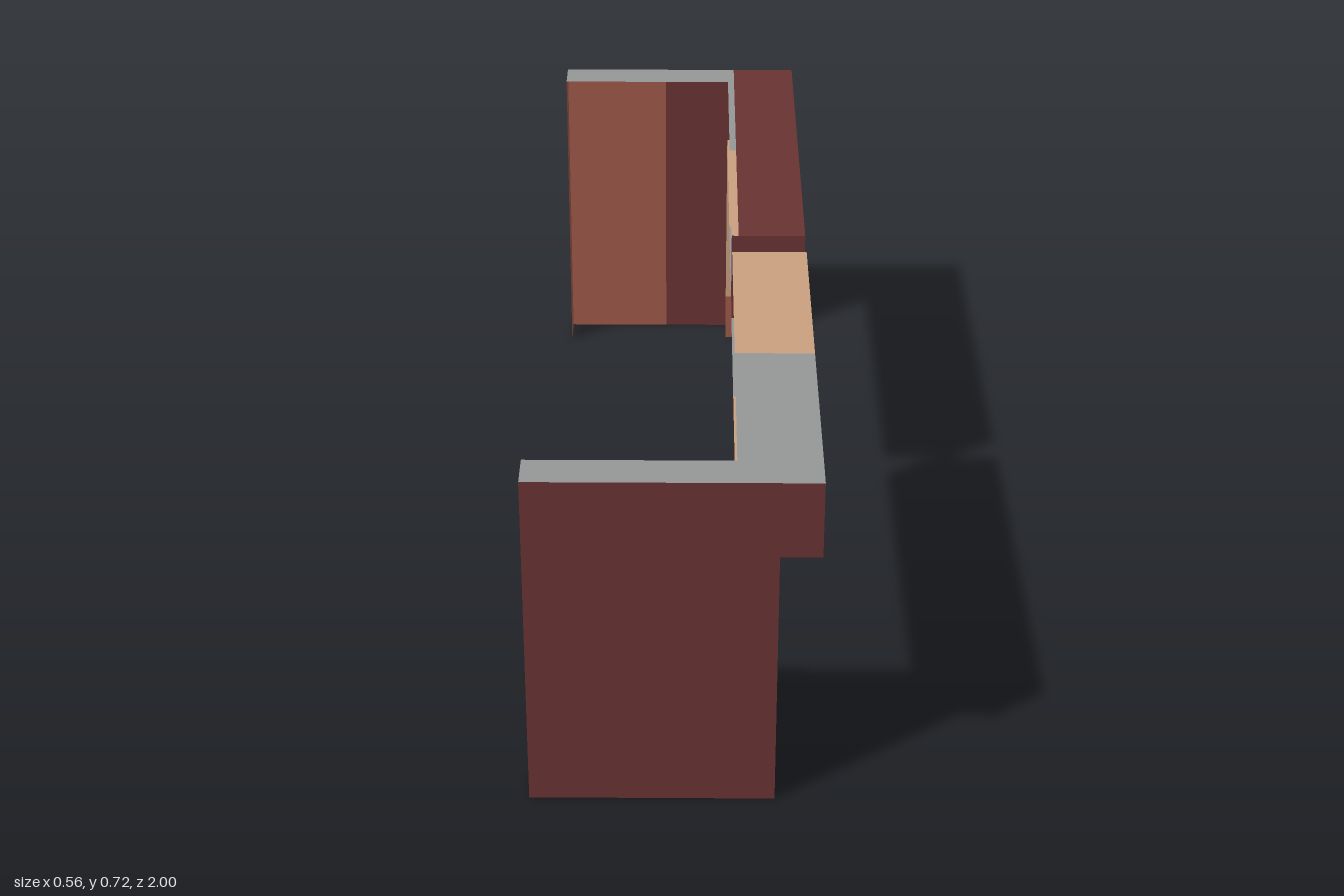
import * as THREE from 'three';

function material(name, color) {
  const m = new THREE.MeshStandardMaterial({ color, side: THREE.DoubleSide });
  m.name = name;
  return m;
}

// Flat sheet perpendicular to an axis. u and v are the ranges on the other two axes:
// axis x -> (z, y), axis y -> (x, z), axis z -> (x, y).
function sheet(group, name, mat, axis, at, u, v) {
  const geo = new THREE.PlaneGeometry(Math.abs(u[1] - u[0]), Math.abs(v[1] - v[0]));
  const cu = (u[0] + u[1]) / 2, cv = (v[0] + v[1]) / 2;
  if (axis === 'x') geo.rotateY(Math.PI / 2).translate(at, cv, cu);
  if (axis === 'y') geo.rotateX(-Math.PI / 2).translate(cu, at, cv);
  if (axis === 'z') geo.translate(cu, cv, at);
  const mesh = new THREE.Mesh(geo, mat);
  mesh.name = name;
  group.add(mesh);
}

export function createModel() {
  const maroon = material('maroon', 0x6a3333);
  const clay = material('clay', 0xa05a4a);
  const tan = material('tan', 0xcaa07f);
  const grey = material('grey', 0x959897);

  const L = -0.28, R = 0.28, IN = 0.12;      // outer sides and inner edge of the rail
  const TOP = 0.72, LOW = 0.56, GAP = 0.04;  // rail heights and half of the middle gap
  const model = new THREE.Group();
  model.name = 'openShellFrame';

  for (const s of [1, -1]) {
    const front = s > 0;
    const g = new THREE.Group();
    g.name = front ? 'frontHalf' : 'backHalf';
    model.add(g);
    const z = (a, b) => [s * a, s * b];
    const legX = front ? 0.2 : 0.205;
    const legZ = front ? 0.905 : 0.93;
    const split = front ? L : -0.035;        // the back wall changes colour here

    // End wall, open on its inner side
    sheet(g, 'endWall', maroon, 'z', s, [split, legX], [0, TOP]);
    if (!front) sheet(g, 'endWallPanel', clay, 'z', s, [L, split], [0, TOP]);
    sheet(g, 'railOuterEnd', maroon, 'z', s, [legX, R], [LOW, TOP]);
    sheet(g, 'wallSide', clay, 'x', L, z(0.92, 1), [0, TOP]);

    // Corner leg: outer side and inner face
    const bands = front ? [[clay, 0, LOW]] : [[clay, 0, 0.12], [tan, 0.12, LOW]];
    for (const [mat, y0, y1] of bands) {
      sheet(g, 'legSide', mat, 'x', legX, z(legZ, 1), [y0, y1]);
      sheet(g, 'legInnerFace', mat, 'z', s * legZ, [IN, legX], [y0, y1]);
    }

    // Rail side and the cap facing the gap
    sheet(g, 'railSide', maroon, 'x', R, z(GAP, 1), [LOW, TOP]);
    sheet(g, 'railGapCap', maroon, 'z', s * GAP, [IN, R], [LOW, TOP]);

    // Top: wall cap, two-tone rail top, maroon cover on the back rail
    const edge = front ? R : 0.135;
    sheet(g, 'wallCap', grey, 'y', TOP, [L, IN], z(0.92, 1));
    sheet(g, 'railTopOuter', grey, 'y', TOP, [IN, edge], z(0.5, 1));
    sheet(g, 'railTopInner', tan, 'y', TOP, [IN, edge], z(GAP, 0.5));
    if (!front) sheet(g, 'railTopCover', maroon, 'y', TOP, [edge, R], z(GAP, 1));

    // Underside, notched around the leg
    const change = front ? 0.39 : 0.42;
    sheet(g, 'railBottomInner', grey, 'y', LOW, [IN, R], z(GAP, change));
    sheet(g, 'railBottomOuter', tan, 'y', LOW, [IN, R], z(change, legZ));
    sheet(g, 'railBottomCorner', tan, 'y', LOW, [legX, R], z(legZ, 1));
  }
  return model;
}
